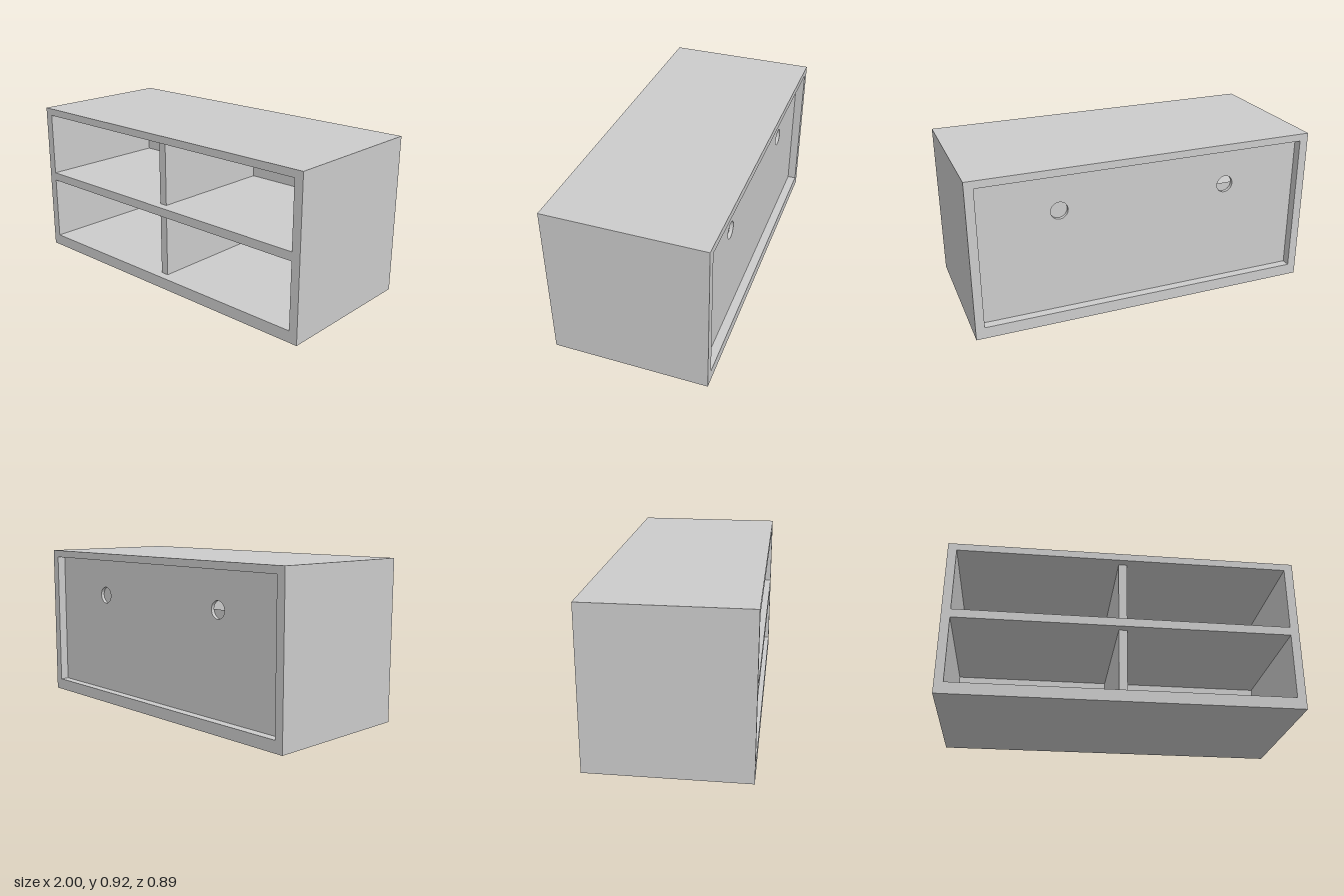
import * as THREE from 'three';

const W = 2, H = 0.915, D = 0.888;            // overall size
const IN = { x: 0.95, y0: 0.067, y1: 0.873 }; // inner opening
const SHELF = { y0: 0.447, y1: 0.497 };
const RECESS = 0.05, PANEL = 0.02;            // back panel inset and thickness
const HOLE = { x: 0.496, y: 0.657, r: 0.049 };

const rect = (Type, x0, y0, x1, y1) => new Type([
  new THREE.Vector2(x0, y0), new THREE.Vector2(x1, y0),
  new THREE.Vector2(x1, y1), new THREE.Vector2(x0, y1),
]);

export function createModel() {
  const group = new THREE.Group();
  const material = new THREE.MeshStandardMaterial({ color: 0xcccccc });
  const thin = new THREE.MeshStandardMaterial({ color: 0xcccccc, side: THREE.DoubleSide });

  const add = (name, geometry, x = 0, y = 0, z = 0, mat = material) => {
    const mesh = new THREE.Mesh(geometry, mat);
    mesh.name = name;
    mesh.position.set(x, y, z);
    group.add(mesh);
  };
  const box = (name, x0, x1, y0, y1, z0, z1) => add(name,
    new THREE.BoxGeometry(x1 - x0, y1 - y0, z1 - z0),
    (x0 + x1) / 2, (y0 + y1) / 2, (z0 + z1) / 2);

  const front = D / 2, back = -D / 2;
  const panelBack = back + RECESS, panelFront = panelBack + PANEL;

  // Outer case: a rectangular tube open at front and back
  const shell = rect(THREE.Shape, -W / 2, 0, W / 2, H);
  shell.holes.push(rect(THREE.Path, -IN.x, IN.y0, IN.x, IN.y1));
  add('case', new THREE.ExtrudeGeometry(shell, { depth: D, bevelEnabled: false }), 0, 0, back);

  // Middle shelf, flush with the front
  box('shelf', -IN.x, IN.x, SHELF.y0, SHELF.y1, panelFront, front);

  // Dividers, set back from the front edge
  for (const [name, y0, y1] of [['lowerDivider', IN.y0, SHELF.y0], ['upperDivider', SHELF.y1, IN.y1]]) {
    box(name, -0.025, 0.023, y0, y1, panelFront, front - 0.05);
  }

  // Recessed back panel with two round cable holes
  const panel = rect(THREE.Shape, -IN.x, IN.y0, IN.x, IN.y1);
  for (const side of [-1, 1]) {
    panel.holes.push(new THREE.Path().absarc(side * HOLE.x, HOLE.y, HOLE.r, 0, Math.PI * 2, true));
  }
  add('backPanel', new THREE.ExtrudeGeometry(panel, {
    depth: PANEL, bevelEnabled: false, curveSegments: 24,
  }), 0, 0, panelBack);

  // Hole covers on the inner face: left one closed, right one half open
  add('leftHoleCover', new THREE.CircleGeometry(HOLE.r, 48),
    HOLE.x, HOLE.y, panelFront, thin);
  add('rightHoleCover', new THREE.CircleGeometry(HOLE.r, 24, Math.PI, Math.PI),
    -HOLE.x, HOLE.y, panelFront, thin);

  return group;
}
